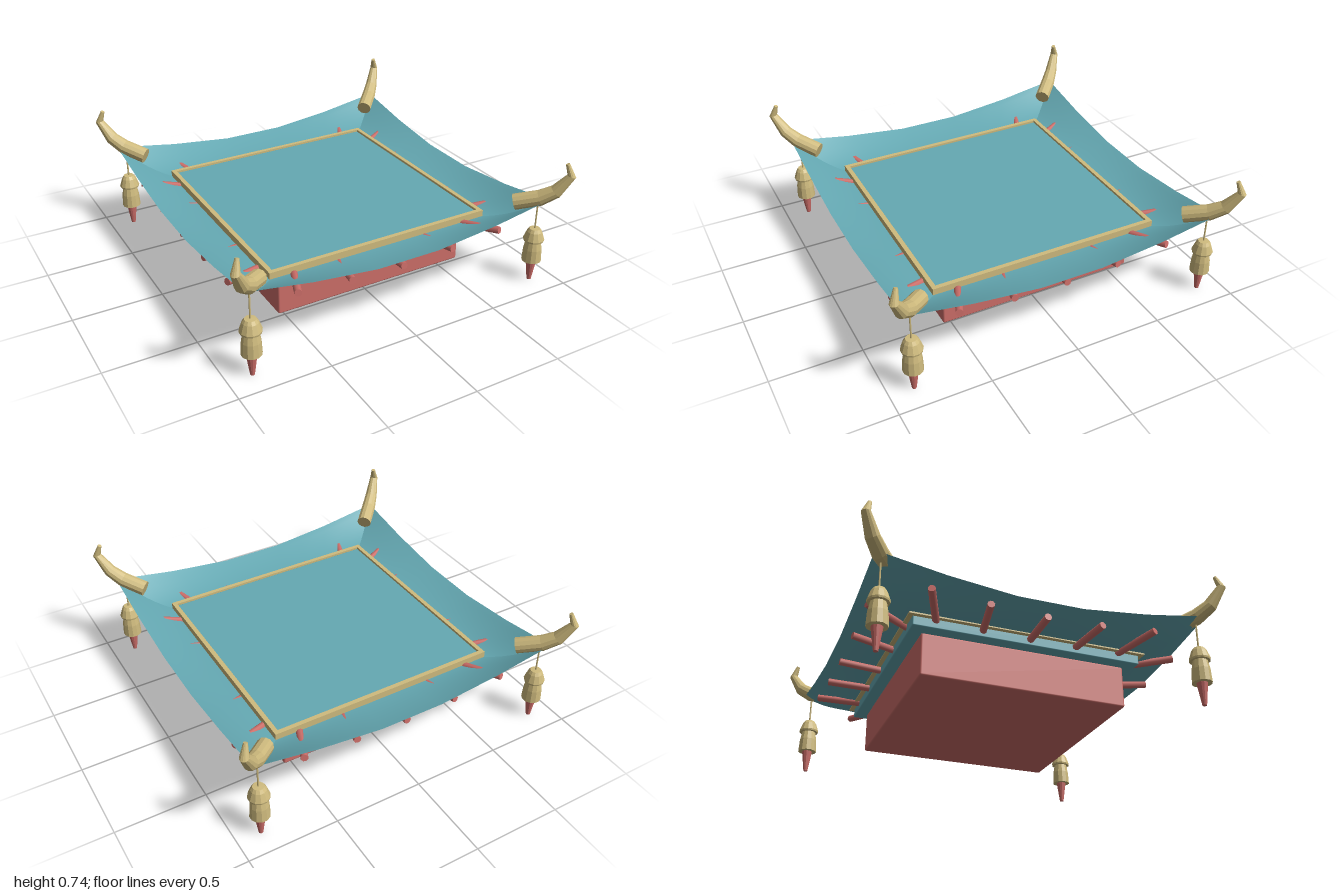
import * as THREE from 'three';
import { RoundedBoxGeometry } from 'three/addons/geometries/RoundedBoxGeometry.js';

const material = (name, color, extra = {}) => {
  const m = new THREE.MeshStandardMaterial({ color, ...extra });
  m.name = name;
  return m;
};

export function createModel() {
  const teal = material('teal', 0x65a9b3, { side: THREE.DoubleSide });
  const red = material('red', 0xcd6e69);
  const gold = material('gold', 0xcfbb7e);

  const model = new THREE.Group();
  model.name = 'curvedRoof';
  const add = (parent, name, geometry, mat, x = 0, y = 0, z = 0) => {
    const mesh = new THREE.Mesh(geometry, mat);
    mesh.name = name;
    mesh.position.set(x, y, z);
    parent.add(mesh);
    return mesh;
  };

  // Square core: red base, teal slab and gold rim
  add(model, 'base', new RoundedBoxGeometry(1.14, 0.235, 1.14, 2, 0.01), red, 0, 0.183, 0);
  add(model, 'slab', new RoundedBoxGeometry(1.27, 0.085, 1.27, 2, 0.006), teal, 0, 0.3425, 0);

  // Upswept eave for one side, mitred at the corners
  const eave = new THREE.PlaneGeometry(2, 1, 10, 8);
  const p = eave.attributes.position;
  for (let i = 0; i < p.count; i++) {
    const t = p.getX(i), s = 0.5 - p.getY(i);
    const half = 0.63 + 0.275 * s;
    // height along the edge runs in five straight pieces
    const a = Math.abs(t);
    const lift = a <= 0.2 ? 0 : a <= 0.6 ? (a - 0.2) * 0.1 : 0.04 + (a - 0.6) * 0.15;
    p.setXYZ(i, t * half, 0.355 + Math.pow(s, 1.7) * (0.052 + lift), half);
  }
  eave.computeVertexNormals();

  // Round bar between two points
  const bar = (parent, name, from, to, radius, mat) => {
    const dir = to.clone().sub(from);
    const mesh = add(parent, name, new THREE.CylinderGeometry(radius, radius, dir.length(), 8), mat);
    mesh.position.copy(from).lerp(to, 0.5);
    mesh.quaternion.setFromUnitVectors(new THREE.Vector3(0, 1, 0), dir.normalize());
  };

  // Rafters fan out and rise towards the corners: [inner x, outer x, inner y, outer y]
  const rafters = [[0, 0, 0.331, 0.348], [0.255, 0.305, 0.334, 0.359], [0.5, 0.61, 0.342, 0.384]];

  for (let k = 0; k < 4; k++) {
    const side = new THREE.Group();
    side.name = 'side' + (k + 1);
    side.rotation.y = k * Math.PI / 2;
    model.add(side);
    add(side, 'eave', eave, teal);
    add(side, 'rim', new THREE.BoxGeometry(1.295, 0.045, 0.025), gold, -0.0125, 0.3725, 0.6475);
    rafters.forEach(([x0, x1, y0, y1], i) => {
      for (const m of i ? [-1, 1] : [1]) {
        bar(side, 'rafter', new THREE.Vector3(m * x0, y0, 0.6), new THREE.Vector3(m * x1, y1, 0.865), 0.02, red);
      }
    });
  }

  // Bent horn: rings follow a path in the local x-y plane [distance, height, radius]
  const d = Math.SQRT2;
  const path = [[0.775, 0.472, 0.045], [0.87, 0.515, 0.044], [0.925, 0.565, 0.038], [0.975, 0.665, 0.024], [0.955, 0.732, 0.011]]
    .map(([x, y, r]) => [x * d, y, r]);
  const sides = 12, verts = [], index = [];
  path.forEach(([x, y, r], i) => {
    const a = path[Math.max(i - 1, 0)], b = path[Math.min(i + 1, path.length - 1)];
    const len = Math.hypot(b[0] - a[0], b[1] - a[1]);
    const nx = -(b[1] - a[1]) / len, ny = (b[0] - a[0]) / len;
    for (let j = 0; j < sides; j++) {
      const q = j / sides * Math.PI * 2;
      verts.push(x + nx * r * Math.cos(q), y + ny * r * Math.cos(q), r * Math.sin(q));
      if (i < path.length - 1) {
        const u = i * sides + j, v = i * sides + (j + 1) % sides;
        index.push(u, v, u + sides, v, v + sides, u + sides);
      }
    }
  });
  const last = (path.length - 1) * sides;
  for (let j = 1; j < sides - 1; j++) {
    index.push(0, j + 1, j, last, last + j, last + j + 1);
  }
  let horn = new THREE.BufferGeometry();
  horn.setAttribute('position', new THREE.Float32BufferAttribute(verts, 3));
  horn.setIndex(index);
  horn = horn.toNonIndexed();
  horn.computeVertexNormals();

  // Hanging bell profiles, bottom to top
  const lathe = (points) => {
    const g = new THREE.LatheGeometry(points.map(([r, y]) => new THREE.Vector2(r, y)), 12).toNonIndexed();
    g.computeVertexNormals();
    return g;
  };
  const cap = lathe([[0, 0.25], [0.056, 0.252], [0.058, 0.262], [0.042, 0.308], [0.03, 0.326], [0, 0.328]]);
  const bell = lathe([[0, 0.125], [0.054, 0.125], [0.05, 0.2], [0.04, 0.254], [0, 0.254]]);
  const tassel = lathe([[0, 0], [0.012, 0], [0.03, 0.126], [0, 0.126]]);

  for (let k = 0; k < 4; k++) {
    const corner = new THREE.Group();
    corner.name = 'corner' + (k + 1);
    corner.rotation.y = Math.PI / 4 + k * Math.PI / 2;
    model.add(corner);
    add(corner, 'horn', horn, gold);
    const x = 0.865 * d;
    add(corner, 'cord', new THREE.CylinderGeometry(0.005, 0.005, 0.17, 6), gold, x, 0.4, 0);
    add(corner, 'bellCap', cap, gold, x);
    add(corner, 'bell', bell, gold, x);
    add(corner, 'tassel', tassel, red, x);
  }
  return model;
}
